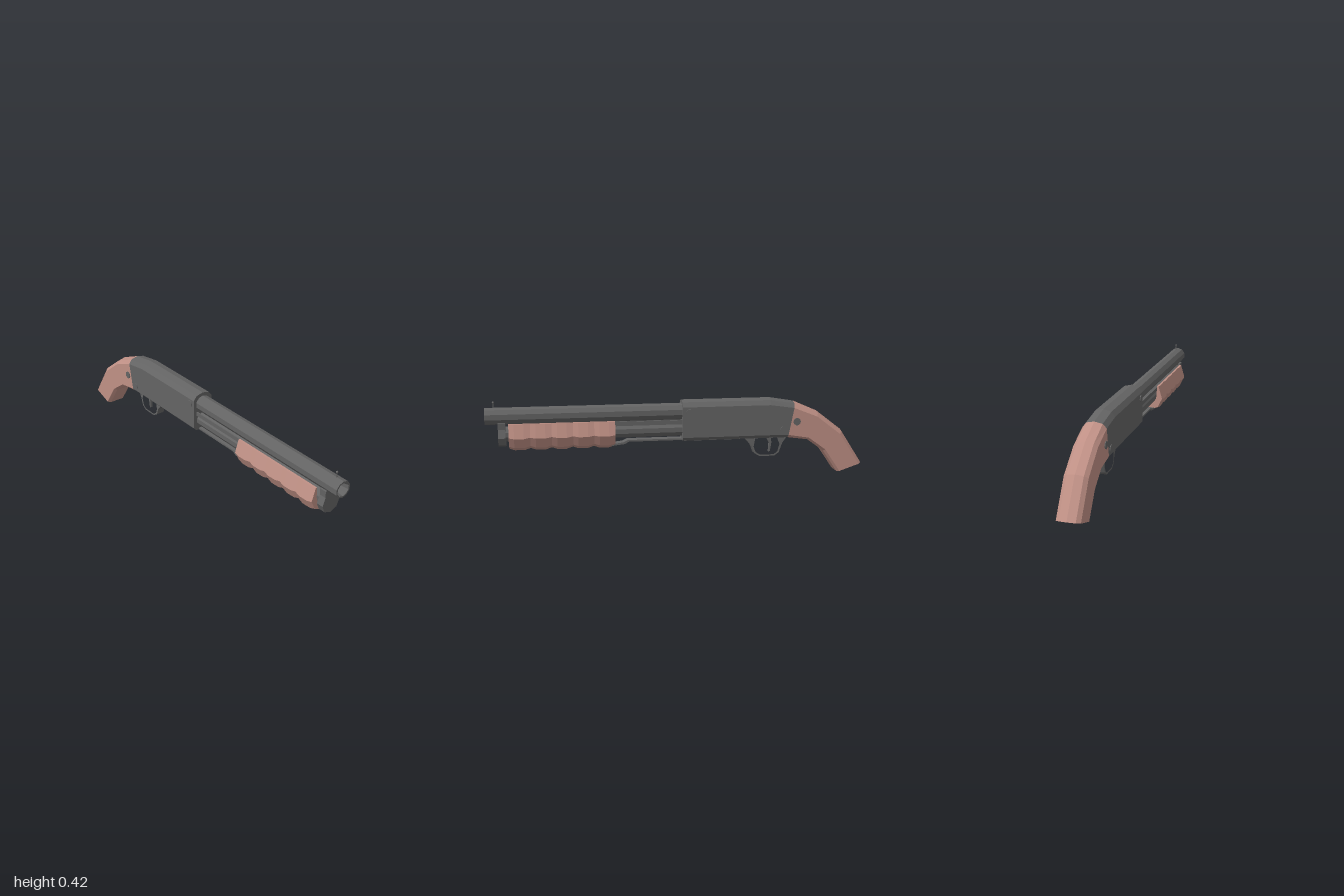
import * as THREE from 'three';

export function createModel() {
  const model = new THREE.Group();
  const metal = new THREE.MeshStandardMaterial({ color: 0x646464 });
  metal.name = 'gunmetal';
  const wood = new THREE.MeshStandardMaterial({ color: 0xbf9085 });
  wood.name = 'wood';

  // Adds a faceted mesh
  function add(name, geometry, material) {
    const flat = geometry.index ? geometry.toNonIndexed() : geometry;
    flat.computeVertexNormals();
    const mesh = new THREE.Mesh(flat, material);
    mesh.name = name;
    model.add(mesh);
    return mesh;
  }

  // Skins rings of [x, y, z] points, counter-clockwise from the front, front to back
  function loft(rings) {
    const out = [];
    const tri = (...points) => points.forEach((p) => out.push(...p));
    const n = rings[0].length;
    for (let i = 0; i < rings.length - 1; i++) {
      for (let j = 0; j < n; j++) {
        const k = (j + 1) % n;
        const a = rings[i][j], b = rings[i][k], c = rings[i + 1][k], d = rings[i + 1][j];
        tri(a, d, b);
        tri(b, d, c);
      }
    }
    const f = rings[0], r = rings[rings.length - 1];
    for (let k = 0; k < Math.floor((n - 1) / 2); k++) {
      const [a, b, c, d] = [k, k + 1, n - 2 - k, n - 1 - k];
      if (b !== c) { tri(f[a], f[b], f[c]); tri(r[a], r[c], r[b]); }
      tri(f[a], f[c], f[d]);
      tri(r[a], r[d], r[c]);
    }
    const geometry = new THREE.BufferGeometry();
    geometry.setAttribute('position', new THREE.Float32BufferAttribute(out, 3));
    return geometry;
  }

  // Extrudes a [z, y] side outline across x, optionally with a hole
  function sidePlate(outline, width, hole) {
    const vectors = (pts) => pts.map(([z, y]) => new THREE.Vector2(z, y));
    const shape = new THREE.Shape(vectors(outline));
    if (hole) shape.holes.push(new THREE.Path(vectors(hole)));
    return new THREE.ExtrudeGeometry(shape, { depth: width, bevelEnabled: false })
      .rotateY(-Math.PI / 2).translate(width / 2, 0, 0);
  }

  // Mirrors the left half of a [x, y] section to the right
  const mirrored = (half) => [
    ...half,
    ...half.filter(([x]) => x !== 0).reverse().map(([x, y]) => [-x, y]),
  ];

  // Chamfered body ring spanning from a bottom to a top [z, y] point
  const bodySection = [
    [0, 1], [-0.04, 0.955], [-0.058, 0.84], [-0.058, 0.08], [-0.042, 0],
    [0.042, 0], [0.058, 0.08], [0.058, 0.84], [0.04, 0.955],
  ];
  const bodyRing = ([bz, by, tz, ty]) => bodySection.map(([x, t]) => [
    x, by + (ty - by) * t, bz + (tz - bz) * t,
  ]);

  // Receiver and pistol grip share the slanted seam
  const seam = [-0.575, 0.2, -0.612, 0.39];
  add('receiver', loft([
    [-0.01, 0.2, -0.01, 0.412], [-0.47, 0.2, -0.48, 0.412], seam,
  ].map(bodyRing)), metal);
  add('grip', loft([
    seam,
    [-0.685, 0.185, -0.743, 0.333],
    [-0.775, 0.12, -0.88, 0.228],
    [-0.855, 0.003, -0.995, 0.05],
  ].map(bodyRing)), wood);

  // Barrel with hollow muzzle
  const barrelProfile = [[0.044, -0.02], [0.044, 1], [0.036, 1], [0, 0.86]]
    .map(([r, y]) => new THREE.Vector2(r, y));
  add('barrel', new THREE.LatheGeometry(barrelProfile, 10)
    .rotateX(Math.PI / 2).translate(0, 0.35, 0), metal);

  // Front sight bead on a post
  add('sightPost', new THREE.CylinderGeometry(0.003, 0.003, 0.03, 6).translate(0, 0.404, 0.955), metal);
  add('sightBead', new THREE.SphereGeometry(0.006, 8, 6).translate(0, 0.42, 0.955), metal);

  // Magazine tube and its clamp under the muzzle
  add('magazineTube', new THREE.CylinderGeometry(0.039, 0.039, 0.94, 10)
    .rotateX(Math.PI / 2).translate(0, 0.257, 0.45), metal);
  const clamp = mirrored([[-0.04, 0.32], [-0.038, 0.285], [-0.053, 0.243], [-0.038, 0.207], [0, 0.191]]);
  add('magazineClamp', loft([0.935, 0.898].map((z) => clamp.map(([x, y]) => [x, y, z]))), metal);

  // Ribbed wooden forend: a trough with five bulging segments
  const outer = mirrored([[-0.054, 0.315], [-0.076, 0.242], [-0.05, 0.19], [0, 0.168]]);
  const inner = mirrored([[-0.041, 0.315], [-0.04, 0.26], [-0.025, 0.228], [0, 0.215]]).reverse();
  const forendRing = (z, s) => [
    ...outer.map(([x, y]) => [x * s, 0.315 + (y - 0.315) * s, z]),
    ...inner.map(([x, y]) => [x, y, z]),
  ];
  const forend = [];
  const segments = 5, front = 0.882, step = 0.108;
  for (let i = 0; i < segments; i++) {
    const z = front - i * step;
    forend.push(forendRing(z, 0.925), forendRing(z - step * 0.25, 0.99), forendRing(z - step * 0.7, 1));
  }
  forend.push(forendRing(front - segments * step, 0.94));
  add('forend', loft(forend), wood);

  // Action bars and the lifter below the tube
  for (const side of [-1, 1]) {
    add('actionBar', new THREE.BoxGeometry(0.006, 0.022, 0.37).translate(side * 0.037, 0.298, 0.17), metal);
  }
  add('lifter', sidePlate([
    [-0.02, 0.2], [0.27, 0.2], [0.29, 0.188], [0.36, 0.18],
    [0.36, 0.19], [0.3, 0.197], [0.275, 0.209], [-0.02, 0.209],
  ], 0.05), metal);

  // Loading port trim under the receiver
  add('loadingPort', new THREE.BoxGeometry(0.06, 0.006, 0.3).translate(0, 0.199, -0.17), metal);
  add('loadedShell', new THREE.BoxGeometry(0.012, 0.004, 0.24).translate(0, 0.195, -0.18), wood);

  // Trigger guard and trigger
  add('triggerGuard', sidePlate([
    [-0.34, 0.205], [-0.385, 0.155], [-0.4, 0.115], [-0.43, 0.097], [-0.51, 0.097],
    [-0.535, 0.115], [-0.553, 0.165], [-0.58, 0.205],
  ], 0.046, [
    [-0.405, 0.195], [-0.397, 0.15], [-0.408, 0.12], [-0.433, 0.105], [-0.507, 0.105],
    [-0.527, 0.12], [-0.538, 0.16], [-0.525, 0.195],
  ]), metal);
  add('trigger', sidePlate([
    [-0.465, 0.205], [-0.485, 0.165], [-0.482, 0.118], [-0.49, 0.118], [-0.498, 0.165], [-0.495, 0.205],
  ], 0.014), metal);

  // Pins on both sides: receiver front, receiver rear, grip
  for (const side of [-1, 1]) {
    for (const [z, y, r] of [[-0.045, 0.352, 0.018], [-0.55, 0.245, 0.018], [-0.622, 0.286, 0.02]]) {
      add('sidePin', new THREE.CylinderGeometry(r, r, 0.008, 10)
        .rotateZ(Math.PI / 2).translate(side * 0.058, y, z), metal);
    }
  }
  return model;
}
